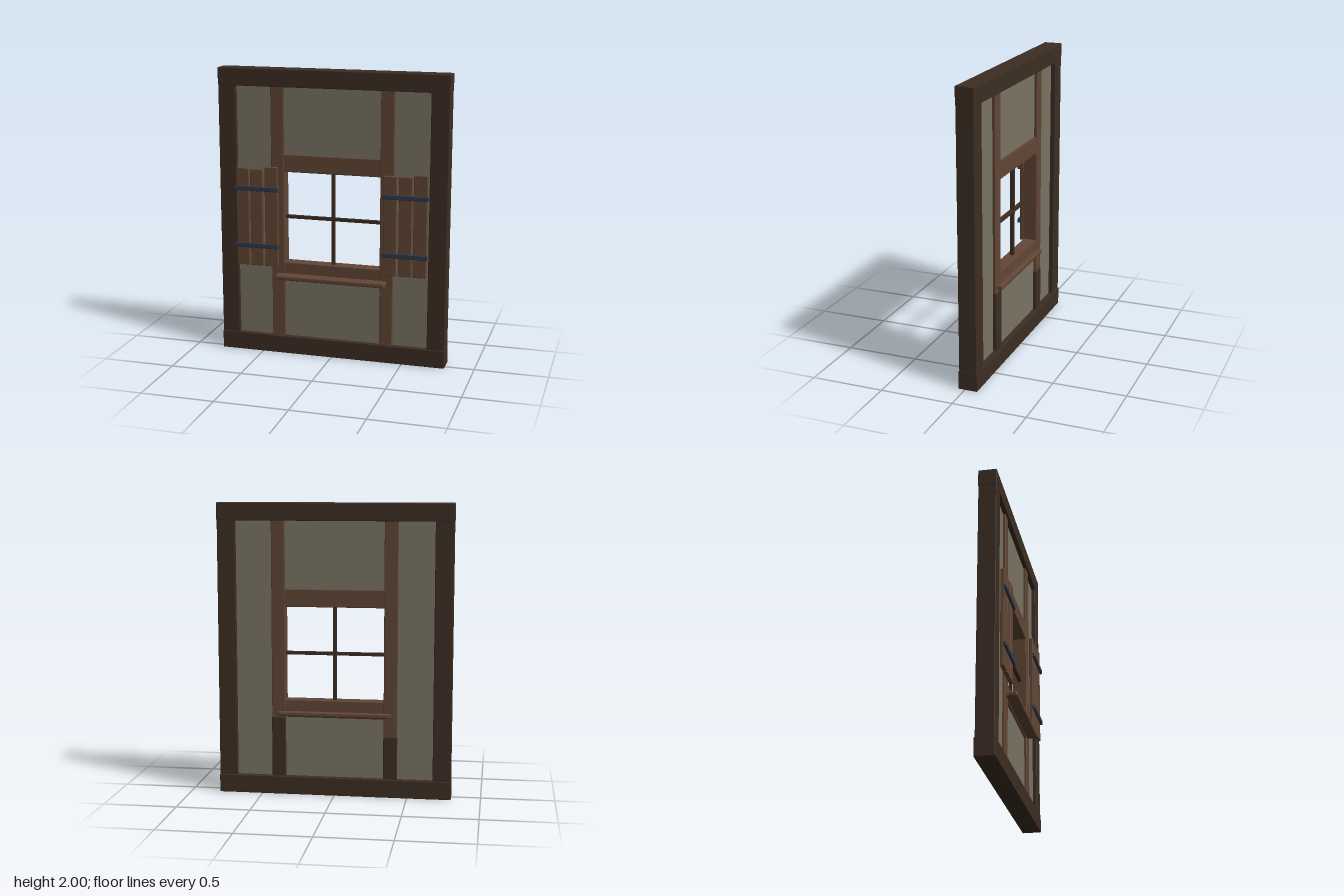
import * as THREE from 'three';
import { RoundedBoxGeometry } from 'three/addons/geometries/RoundedBoxGeometry.js';

const material = (name, color) => {
  const m = new THREE.MeshStandardMaterial({ color });
  m.name = name;
  return m;
};

export function createModel() {
  const darkWood = material('dark wood', 0x3d2e23);
  const warmWood = material('warm wood', 0x624635);
  const plaster = material('plaster', 0x7b7463);
  const iron = material('blue iron', 0x2f394a);

  const model = new THREE.Group();
  model.name = 'timberWindowWall';

  // Box given by its extents, with a small flat chamfer
  const block = (parent, name, mat, [x0, x1], [y0, y1], [z0, z1], bevel = 0.004) => {
    const size = [x1 - x0, y1 - y0, z1 - z0];
    const geo = bevel
      ? new RoundedBoxGeometry(...size, 1, bevel)
      : new THREE.BoxGeometry(...size);
    if (bevel) geo.computeVertexNormals();
    const mesh = new THREE.Mesh(geo, mat);
    mesh.position.set((x0 + x1) / 2, (y0 + y1) / 2, (z0 + z1) / 2);
    mesh.name = name;
    parent.add(mesh);
    return mesh;
  };
  // Extents mirrored to the given side
  const span = (side, a, b) => (side > 0 ? [a, b] : [-b, -a]);

  // Outer frame
  block(model, 'topBeam', darkWood, [-0.8, 0.8], [1.88, 2], [-0.084, 0.041]);
  block(model, 'bottomBeam', darkWood, [-0.8, 0.8], [0, 0.125], [-0.087, 0.044]);
  for (const side of [1, -1]) {
    const label = side > 0 ? 'left' : 'right';
    block(model, label + 'Post', darkWood, span(side, 0.675, 0.798), [0.12, 1.885], [-0.082, 0.039]);
    block(model, label + 'Stud', warmWood, span(side, 0.338, 0.43), [0.12, 1.885], [-0.07, 0.028]);
    // Dark lower facing on the back of each stud
    block(model, label + 'StudBackFoot', darkWood, span(side, 0.337, 0.431),
      [0.12, side > 0 ? 0.54 : 0.42], [-0.073, -0.045]);
    block(model, label + 'Panel', plaster, span(side, 0.42, 0.685), [0.11, 1.89], [-0.05, 0.01], 0);
  }

  // Infill above and below the opening
  block(model, 'upperPanel', plaster, [-0.345, 0.345], [1.41, 1.89], [-0.05, 0.01], 0);
  block(model, 'lowerPanel', plaster, [-0.345, 0.345], [0.11, 0.55], [-0.05, 0.01], 0);

  // Window rails, sill and glazing bars
  block(model, 'windowHead', warmWood, [-0.342, 0.342], [1.3, 1.42], [-0.066, 0.024]);
  block(model, 'windowBase', warmWood, [-0.342, 0.342], [0.54, 0.66], [-0.066, 0.024]);
  block(model, 'sill', warmWood, [-0.388, 0.388], [0.55, 0.582], [-0.098, 0.098], 0.008);
  block(model, 'verticalBar', darkWood, [-0.012, 0.012], [0.65, 1.31], [-0.032, -0.008], 0);
  block(model, 'horizontalBar', darkWood, [-0.345, 0.345], [0.969, 0.991], [-0.032, -0.008], 0);

  // Open shutters: three boards [start, end, top] and two straps each
  const shutters = {
    leftShutter: { boards: [[0.37, 0.46, 1.32], [0.475, 0.565, 1.32], [0.575, 0.667, 1.335]], strap: [0.36, 0.677] },
    rightShutter: { boards: [[-0.67, -0.58, 1.32], [-0.57, -0.48, 1.316], [-0.465, -0.373, 1.335]], strap: [-0.68, -0.365] },
  };
  for (const [name, { boards, strap }] of Object.entries(shutters)) {
    const shutter = new THREE.Group();
    shutter.name = name;
    for (const [x0, x1, top] of boards) {
      block(shutter, 'shutterBoard', warmWood, [x0, x1], [0.635, top], [0.042, 0.069]);
    }
    for (const y of [0.78, 1.182]) {
      block(shutter, 'shutterStrap', iron, strap, [y - 0.016, y + 0.016], [0.067, 0.085]);
    }
    model.add(shutter);
  }
  return model;
}
